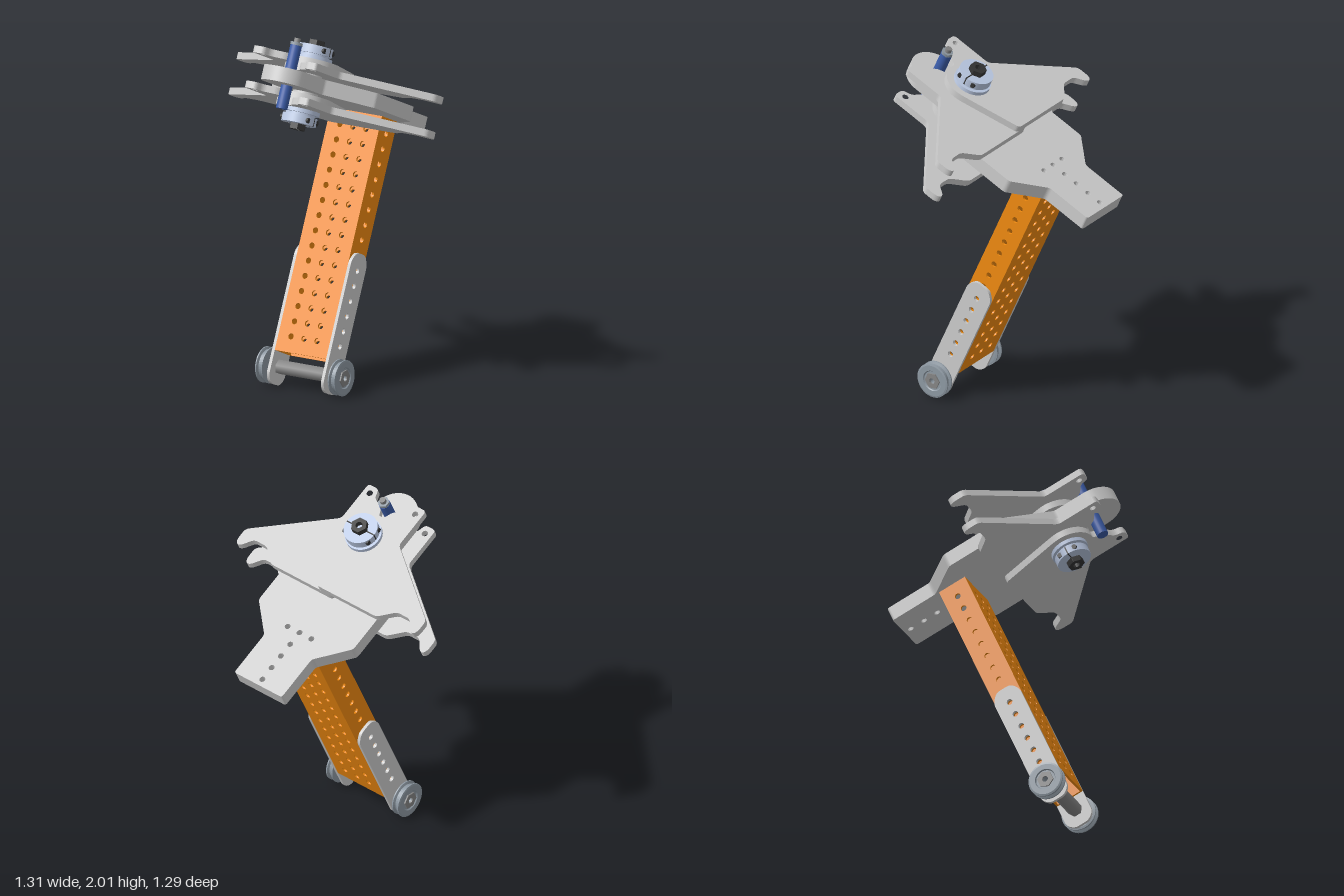
import * as THREE from 'three';

const GREY = new THREE.MeshStandardMaterial({ color: 0xcccccc });
const paint = (color) => new THREE.MeshStandardMaterial({ color });
const ORANGE = paint(0xf08a10), STEEL = paint(0x8e99a3), COLLAR = paint(0xbccaE4);
const BLACK = paint(0x333333), BLUE = paint(0x3b5ca8), DARK = paint(0x858585);

// Polygon outline with every corner rounded by up to r, plus round holes [x, y, radius]
function plateShape(points, r, holes = []) {
  const shape = new THREE.Shape();
  const pts = points.map(([x, y]) => new THREE.Vector2(x, y));
  pts.forEach((p, i) => {
    const toward = (q) => p.clone().lerp(q, Math.min(r / p.distanceTo(q), 0.48));
    const a = toward(pts[(i + pts.length - 1) % pts.length]);
    const b = toward(pts[(i + 1) % pts.length]);
    if (i === 0) shape.moveTo(a.x, a.y);
    else shape.lineTo(a.x, a.y);
    shape.quadraticCurveTo(p.x, p.y, b.x, b.y);
  });
  shape.closePath();
  for (const [x, y, hr] of holes) {
    shape.holes.push(new THREE.Path().absarc(x, y, hr, 0, Math.PI * 2, true));
  }
  return shape;
}

const extrude = (shape, depth) =>
  new THREE.ExtrudeGeometry(shape, { depth, bevelEnabled: false, curveSegments: 6 });

// Plate lying across the arm, between heights y0 and y1
const flatPlate = (shape, y0, y1) =>
  extrude(shape, y1 - y0).rotateX(Math.PI / 2).translate(0, y1, 0);

const rect = (w, y0, y1) => [[-w, y0], [w, y0], [w, y1], [-w, y1]];

const arc = (cx, cy, r, from, to, n) => Array.from({ length: n + 1 }, (_, i) => {
  const a = THREE.MathUtils.degToRad(from + (to - from) * i / n);
  return [cx + r * Math.cos(a), cy + r * Math.sin(a)];
});

export function createModel() {
  const model = new THREE.Group();
  // Everything is built upright around the wheel axle, then leaned back
  const arm = new THREE.Group();
  arm.name = 'leaningArm';
  arm.position.set(0, 0.11, 0.32);
  arm.rotation.x = -0.421;
  model.add(arm);

  const add = (name, geometry, material = GREY, parent = arm) => {
    const mesh = new THREE.Mesh(geometry, material);
    mesh.name = name;
    parent.add(mesh);
    return mesh;
  };
  const post = (name, r, y0, y1, x, z, material, sides = 32) =>
    add(name, new THREE.CylinderGeometry(r, r, y1 - y0, sides)
      .translate(x, (y0 + y1) / 2, z), material);

  // Perforated box tube
  const PITCH = 0.085, HOLE = 0.017, WALL = 0.012;
  const rows = Array.from({ length: 15 }, (_, i) => 0.166 + i * PITCH);
  const wideHoles = rows.flatMap((y) => [-PITCH, 0, PITCH].map((x) => [x, y, HOLE]));
  const sideHoles = rows.map((y) => [0, y, HOLE]);
  const wide = plateShape(rect(0.167, 0.078, 1.44), 0.001, wideHoles);
  const narrow = plateShape(rect(0.083 - WALL, 0.078, 1.44), 0.001, sideHoles);
  add('tubeFront', extrude(wide, WALL).translate(0, 0, 0.083 - WALL), ORANGE);
  add('tubeBack', extrude(wide, WALL).translate(0, 0, -0.083), ORANGE);

  // Side plates, wheels and axle
  const bracket = plateShape([
    [-0.083, -0.06], [-0.045, -0.1], [0.045, -0.1], [0.083, -0.06],
    [0.083, 0.635], [0.045, 0.685], [-0.045, 0.685], [-0.083, 0.635],
  ], 0.025, sideHoles.slice(0, 6));
  const wheelProfile = [
    [0.017, 0.212], [0.088, 0.212], [0.1, 0.214], [0.1, 0.221], [0.086, 0.227],
    [0.086, 0.246], [0.1, 0.252], [0.1, 0.259], [0.09, 0.262], [0.06, 0.262],
    [0.055, 0.256], [0.017, 0.256], [0.017, 0.212],
  ];
  for (const side of [1, -1]) {
    const label = side > 0 ? 'left' : 'right';
    add(label + 'TubeSide', extrude(narrow, WALL).rotateY(Math.PI / 2)
      .translate(side > 0 ? 0.167 - WALL : -0.167, 0, 0), ORANGE);
    add(label + 'SidePlate', extrude(bracket, 0.018).rotateY(Math.PI / 2)
      .translate(side > 0 ? 0.167 : -0.185, 0, 0));
    const wheel = new THREE.Group();
    wheel.name = label + 'Wheel';
    wheel.rotation.z = -side * Math.PI / 2;
    arm.add(wheel);
    // Doubled points keep the lathe's rims crisp
    const crisp = wheelProfile.flatMap(([r, y]) => [[r, y], [r, y]])
      .map(([r, y]) => new THREE.Vector2(r, y));
    const rim = new THREE.LatheGeometry(crisp, 40).toNonIndexed();
    rim.computeVertexNormals();
    add('rim', rim, STEEL, wheel).material.side = THREE.DoubleSide;
    add('hub', new THREE.CylinderGeometry(0.04, 0.04, 0.03, 24).translate(0, 0.198, 0), DARK, wheel);
    const nut = plateShape(arc(0, 0, 0.048, 0, 300, 5), 0.002, [[0, 0, HOLE]]);
    add('hexHub', extrude(nut, 0.008).rotateX(Math.PI / 2).translate(0, 0.264, 0), DARK, wheel);
  }
  add('axleBar', new THREE.CylinderGeometry(0.042, 0.042, 0.334, 6).rotateZ(Math.PI / 2), DARK);

  // Thick deck plate on top of the tube, with a rounded nose
  const deckSide = [[0.17, -0.38], [0.17, -0.106], [0.34, 0.06], [0.34, 0.45], [0.13, 0.68]];
  const deckHoles = [0, 1, 2, 3, 4].map((i) => [0, -i * PITCH, HOLE]);
  deckHoles.push([PITCH, 0, HOLE], [-PITCH, 0, HOLE]);
  const deck = plateShape([
    ...deckSide,
    ...arc(0, 0.87, 0.131, 0, 180, 16),
    ...deckSide.map(([x, z]) => [-x, z]).reverse(),
  ], 0.015, deckHoles);
  add('deckPlate', flatPlate(deck, 1.44, 1.523));

  // Claws: a crossing left and right pair above and below the deck
  const PIVOT = 0.637;
  const clawOutline = [
    [0.045, 0.254], [0.14, 0.6],
    ...arc(0, PIVOT, 0.145, 0, 100, 10),
    [-0.05, 0.836], [-0.125, 0.875], [-0.14, 0.93], [-0.213, 0.93], [-0.213, 0.682],
    [-0.655, 0.366], [-0.655, 0.29], [-0.638, 0.264], [-0.612, 0.272],
    [-0.565, 0.333], [-0.475, 0.333], [-0.385, 0.254],
  ];
  const ear = [-0.17, 0.885, 0.018];
  const claw = (flip) => plateShape(
    clawOutline.map(([x, z]) => [x * flip, z]), 0.022, [[ear[0] * flip, ear[1], ear[2]]]);
  for (const [label, y] of [['upper', 1.541], ['lower', 1.344]]) {
    add(label + 'LeftClaw', flatPlate(claw(-1), y, y + 0.039));
    add(label + 'RightClaw', flatPlate(claw(1), y + 0.039, y + 0.078));
  }

  // Pivot: spacer, then flange, split collar and bolt head on both ends
  post('pivotSpacer', 0.07, 1.35, 1.61, 0, PIVOT, GREY);
  for (const dir of [1, -1]) {
    const end = new THREE.Group();
    end.name = dir > 0 ? 'upperPivotCollar' : 'lowerPivotCollar';
    end.position.set(0, 1.4815 + dir * 0.1375, PIVOT);
    if (dir < 0) end.rotation.x = Math.PI;
    arm.add(end);
    const disc = (name, r, y0, y1, mat, sides = 40) => add(name,
      new THREE.CylinderGeometry(r, r, y1 - y0, sides).translate(0, (y0 + y1) / 2, 0), mat, end);
    disc('flange', 0.104, 0, 0.022, COLLAR);
    disc('neck', 0.082, 0.022, 0.034, COLLAR);
    disc('clampRing', 0.097, 0.034, 0.08, COLLAR);
    const head = plateShape(arc(0, 0, 0.048, 0, 300, 5), 0.002, [[0, 0, 0.02]]);
    add('boltHead', extrude(head, 0.032).rotateX(Math.PI / 2).translate(0, 0.112, 0), BLACK, end);
    for (const side of [1, -1]) {
      add('clampSlit', new THREE.BoxGeometry(0.05, 0.047, 0.007)
        .translate(side * 0.0725, 0.058, 0), BLACK, end);
      for (const z of [-0.045, 0.045]) {
        add('clampScrew', new THREE.CylinderGeometry(0.015, 0.015, 0.02, 12)
          .rotateZ(Math.PI / 2).translate(side * 0.08, 0.057, z), BLACK, end);
      }
    }
  }

  // Stop rod through the nose of the deck
  post('stopRod', 0.032, 1.31, 1.665, 0, 0.84, BLUE, 24);
  post('stopRodNut', 0.034, 1.665, 1.682, 0, 0.84, STEEL, 6);
  post('stopRodTip', 0.018, 1.682, 1.705, 0, 0.84, DARK, 16);

  return model;
}
